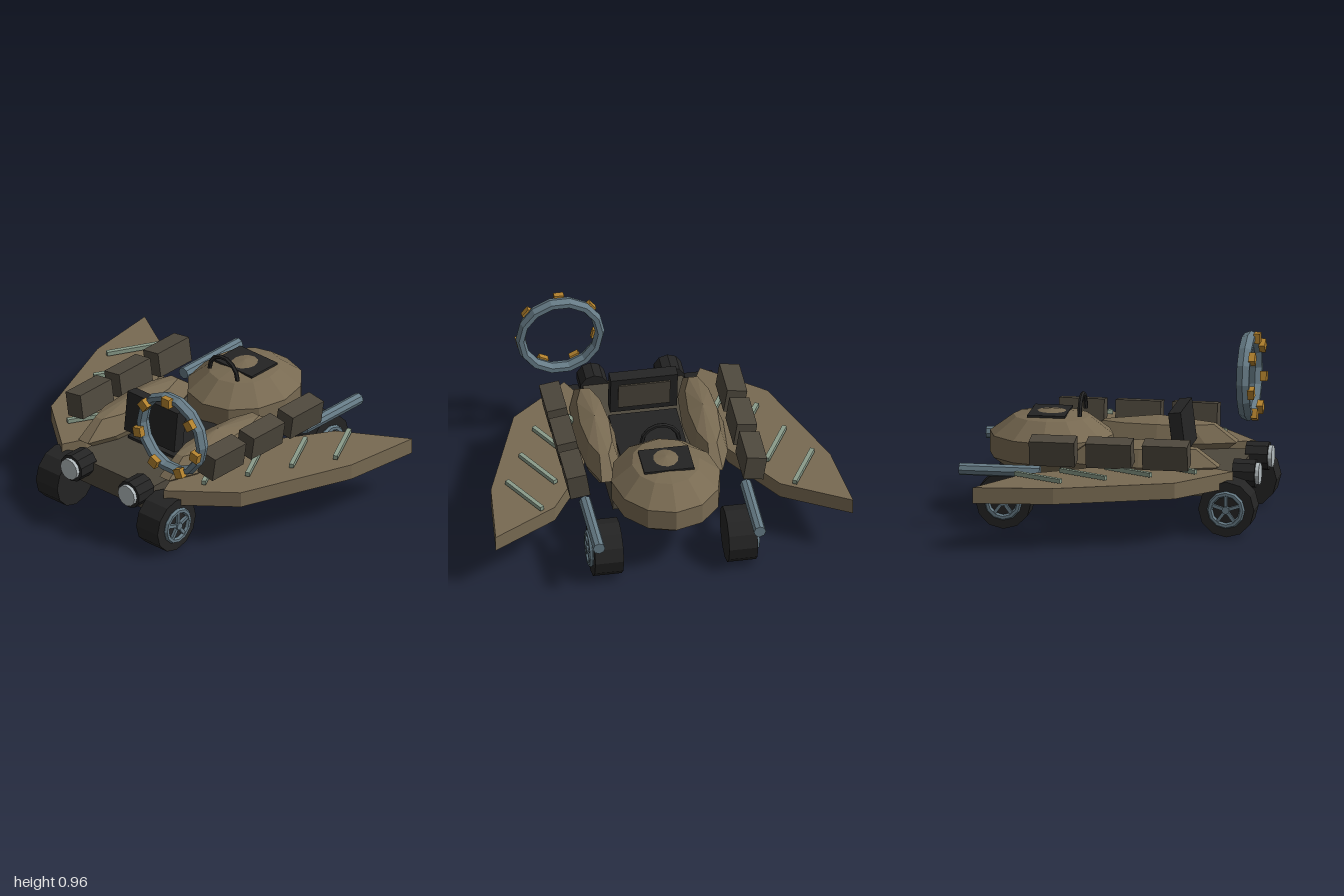
import * as THREE from 'three';

const mat = (name, color) => {
  const m = new THREE.MeshStandardMaterial({ color, flatShading: true });
  m.name = name;
  return m;
};

export function createModel() {
  const model = new THREE.Group();
  model.name = 'wingedRover';
  const tan = mat('tanHull', 0x786a52);
  const drab = mat('darkDrab', 0x4e483d);
  const black = mat('black', 0x242424);
  const steel = mat('blueSteel', 0x667b86);
  const sage = mat('sageStripe', 0x8a9c8a);
  const gold = mat('gold', 0xb3822e);
  const glass = mat('lampGlass', 0xb2babd);

  const add = (name, geo, material, x = 0, y = 0, z = 0, parent = model) => {
    const mesh = new THREE.Mesh(geo, material);
    mesh.name = name;
    mesh.position.set(x, y, z);
    parent.add(mesh);
    return mesh;
  };
  const box = (w, h, d) => new THREE.BoxGeometry(w, h, d);

  // Central body
  add('chassis', box(0.56, 0.145, 0.985), drab, 0, 0.2625, 0.2025);
  add('cockpitFloor', box(0.38, 0.03, 0.42), black, 0, 0.335, 0.15);
  add('rearDome', new THREE.SphereGeometry(1, 12, 5).scale(0.32, 0.197, 0.363), tan, 0, 0.394, -0.385);
  add('hatchPlate', box(0.28, 0.012, 0.21), black, 0, 0.571, -0.395);
  add('handle', new THREE.TorusGeometry(0.104, 0.013, 6, 7, Math.PI), black, 0, 0.572, -0.213);

  // Tilted screen in front of the cockpit
  const screen = new THREE.Group();
  screen.name = 'screen';
  screen.position.set(0, 0.515, 0.345);
  screen.rotation.x = -0.12;
  model.add(screen);
  add('screenCase', box(0.375, 0.235, 0.07), black, 0, 0, 0, screen);
  add('screenPanel', box(0.29, 0.16, 0.016), drab, 0, 0, -0.036, screen);

  // Wing outline as x and z
  const outline = [[1, -0.66], [0.63, -0.44], [0.4, -0.07], [0.32, 0.56], [0.38, 0.69], [0.71, 0.42], [0.95, -0.22]];

  const wheel = (side, z) => {
    const g = new THREE.Group();
    g.name = 'wheel';
    g.position.set(side * 0.375, 0.16, z);
    g.rotation.y = side * Math.PI / 2; // local +z points outward
    model.add(g);
    add('tyre', new THREE.CylinderGeometry(0.156, 0.156, 0.16, 12).rotateX(Math.PI / 2), black, 0, 0, 0, g);
    add('rim', new THREE.TorusGeometry(0.09, 0.016, 6, 12), steel, 0, 0, 0.086, g);
    add('hub', new THREE.CylinderGeometry(0.022, 0.022, 0.03, 8).rotateX(Math.PI / 2), steel, 0, 0, 0.09, g);
    for (let i = 0; i < 5; i++) {
      add('spoke', box(0.018, 0.085, 0.018).translate(0, 0.045, 0).rotateZ(i * Math.PI * 2 / 5), steel, 0, 0, 0.088, g);
    }
  };

  for (const s of [1, -1]) {
    // Wing slab with diagonal stripes
    const shape = new THREE.Shape(outline.map(([x, z]) => new THREE.Vector2(s * x, -z)));
    add('wing', new THREE.ExtrudeGeometry(shape, { depth: 0.09, bevelEnabled: false }).rotateX(-Math.PI / 2), tan, 0, 0.27, 0);
    for (let i = 0; i < 4; i++) {
      const stripe = add('wingStripe', box(0.025, 0.024, 0.315), sage, s * (0.78 - 0.115 * i), 0.381, -0.33 + 0.232 * i);
      stripe.rotation.y = s * 0.49;
    }

    // Side pod and leaning cargo boxes
    add('sidePod', new THREE.SphereGeometry(1, 10, 4).scale(0.115, 0.136, 0.46), tan, s * 0.303, 0.369, 0.165);
    for (let i = 0; i < 3; i++) {
      const crate = add('cargoBox', box(0.113, 0.142, 0.253), drab, s * 0.494, 0.466, -0.294 + 0.316 * i);
      crate.rotation.z = -s * 0.155;
    }

    // Exhaust and headlight
    add('exhaustPipe', new THREE.CylinderGeometry(0.034, 0.034, 0.45, 8).rotateX(Math.PI / 2), steel, s * 0.45, 0.333, -0.6);
    add('lampHousing', new THREE.CylinderGeometry(0.08, 0.08, 0.125, 10).rotateX(Math.PI / 2), black, s * 0.215, 0.315, 0.732);
    add('lampLens', new THREE.CylinderGeometry(0.062, 0.062, 0.03, 12).rotateX(Math.PI / 2), glass, s * 0.215, 0.315, 0.8);

    wheel(s, 0.665);
    wheel(s, -0.58);
  }

  // Upright ring on the left front with seven studs
  const ring = new THREE.Group();
  ring.name = 'ring';
  ring.position.set(0.41, 0.717, 0.65);
  model.add(ring);
  add('ringHoop', new THREE.TorusGeometry(0.222, 0.027, 6, 14).scale(1, 1, 1.5), steel, 0, 0, 0, ring);
  for (let i = 0; i < 7; i++) {
    const a = Math.PI / 2 + i * Math.PI * 2 / 7;
    const stud = add('ringStud', box(0.055, 0.055, 0.035), gold, 0.217 * Math.cos(a), 0.217 * Math.sin(a), 0.045, ring);
    stud.rotation.z = a;
  }

  return model;
}
